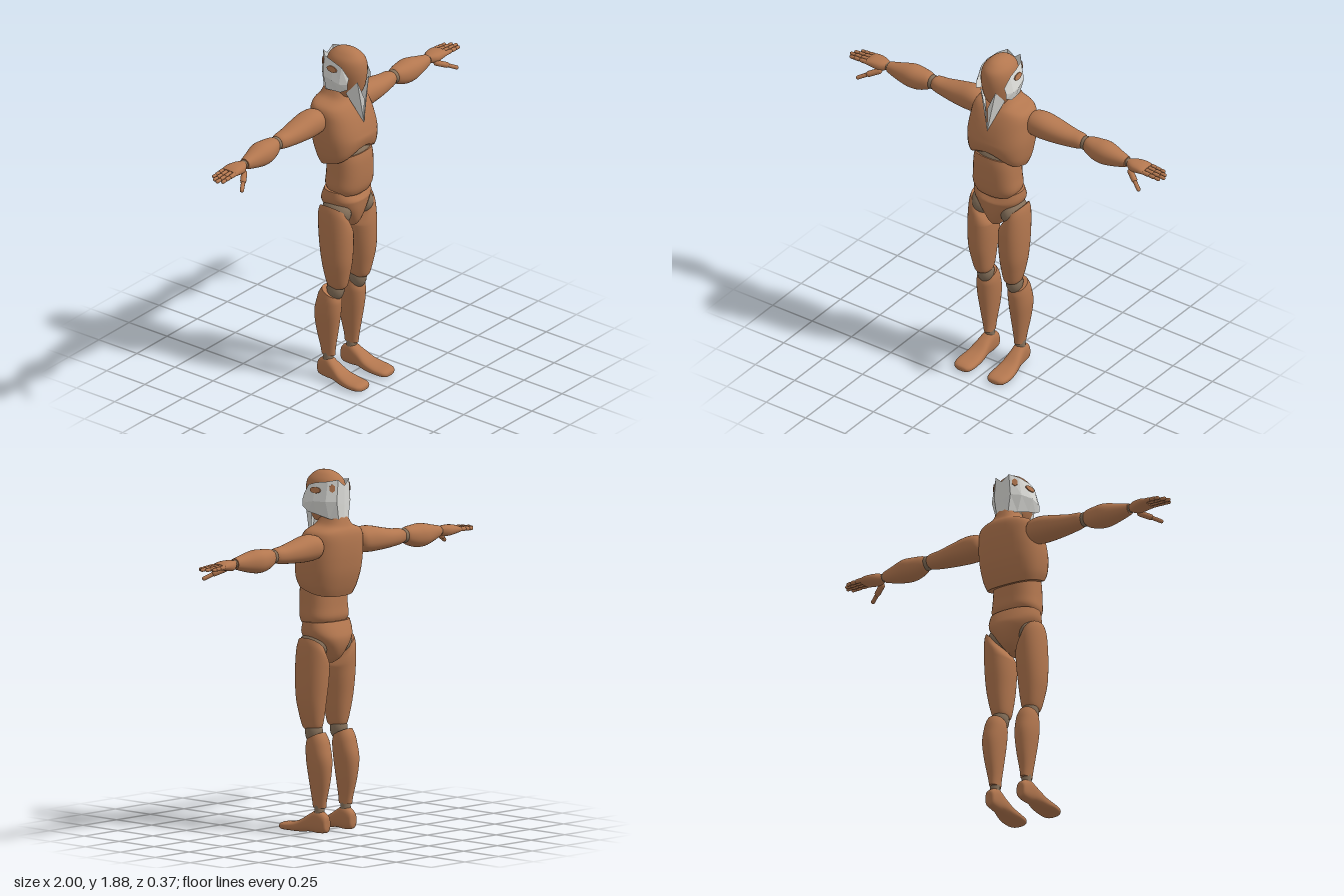
import * as THREE from 'three';

const wood = new THREE.MeshStandardMaterial({ name: 'wood', color: 0xb3774f });
const joint = new THREE.MeshStandardMaterial({ name: 'joint', color: 0x85705a });
const shell = new THREE.MeshStandardMaterial({ name: 'maskWhite', color: 0xdcdcd8, side: THREE.DoubleSide });

// Smooth solid through cross-sections [t, aMin, aMax, bMin, bMax] along an axis.
// y: a = x, b = z;  x: a = y, b = z;  z: a = x, b = y
function loft(axis, sections, power = 2.2, warp = null, steps = 4, sides = 32) {
  const at = (i) => sections[Math.max(0, Math.min(sections.length - 1, i))];
  const rings = [];
  for (let i = 0; i < sections.length - 1; i++) {
    for (let s = 0; s < steps; s++) {
      const u = s / steps;
      rings.push(at(i).map((p1, k) => {
        const p0 = at(i - 1)[k], p2 = at(i + 1)[k], p3 = at(i + 2)[k];
        return p1 + 0.5 * u * (p2 - p0 + u * (2 * p0 - 5 * p1 + 4 * p2 - p3 + u * (3 * (p1 - p2) + p3 - p0)));
      }));
    }
  }
  rings.push(at(sections.length - 1));
  const pos = [], idx = [];
  const bend = (v) => Math.sign(v) * Math.abs(v) ** (2 / power);
  const put = (a, b, t) => {
    const p = axis === 'y' ? [a, t, b] : axis === 'x' ? [t, a, b] : [a, b, t];
    if (warp) p[1] += warp(...p);
    pos.push(...p);
  };
  const ring = ([t, a0, a1, b0, b1]) => {
    for (let j = 0; j < sides; j++) {
      const th = (j / sides) * Math.PI * 2;
      put((a0 + a1) / 2 + ((a1 - a0) / 2) * bend(Math.cos(th)), (b0 + b1) / 2 + ((b1 - b0) / 2) * bend(Math.sin(th)), t);
    }
  };
  const tri = (a, b, c) => (axis === 'y' ? idx.push(a, c, b) : idx.push(a, b, c));
  rings.forEach(ring);
  for (let r = 0; r < rings.length - 1; r++) {
    for (let j = 0; j < sides; j++) {
      const k = (j + 1) % sides, a = r * sides, b = a + sides;
      tri(a + j, a + k, b + k);
      tri(a + j, b + k, b + j);
    }
  }
  // crisp end caps
  [rings[0], rings[rings.length - 1]].forEach((e, top) => {
    const base = pos.length / 3;
    ring(e);
    put((e[1] + e[2]) / 2, (e[3] + e[4]) / 2, e[0]);
    for (let j = 0; j < sides; j++) {
      const k = (j + 1) % sides;
      top ? tri(base + sides, base + j, base + k) : tri(base + sides, base + k, base + j);
    }
  });
  return surface(pos, idx);
}

function surface(pos, idx) {
  const g = new THREE.BufferGeometry();
  g.setAttribute('position', new THREE.Float32BufferAttribute(pos, 3));
  g.setIndex(idx);
  g.computeVertexNormals();
  return g;
}

function ball(x, y, z, rx, ry, rz) {
  return new THREE.SphereGeometry(1, 24, 16).scale(rx, ry, rz).translate(x, y, z);
}

// Rounded rod between two points
function rod(p, q, r) {
  const a = new THREE.Vector3(...p), b = new THREE.Vector3(...q), d = b.clone().sub(a);
  const g = new THREE.CapsuleGeometry(r, Math.max(0.001, d.length() - 2 * r), 4, 10);
  g.applyQuaternion(new THREE.Quaternion().setFromUnitVectors(new THREE.Vector3(0, 1, 0), d.normalize()));
  return g.translate(...a.add(b).multiplyScalar(0.5).toArray());
}

function mirrored(geo) {
  const g = geo.clone(), p = g.attributes.position, n = g.attributes.normal, ix = g.index.array;
  for (let i = 0; i < p.count; i++) { p.setX(i, -p.getX(i)); n.setX(i, -n.getX(i)); }
  for (let i = 0; i < ix.length; i += 3) [ix[i + 1], ix[i + 2]] = [ix[i + 2], ix[i + 1]];
  return g;
}

// Faceted sheet from a few points and triangles
function facets(points, tris) {
  return surface(tris.flat().flatMap((i) => points[i]), tris.flat().map((_, i) => i));
}

export function createModel() {
  const model = new THREE.Group();
  model.name = 'jointedMannequin';
  const add = (name, geo, mat = wood) => {
    const m = new THREE.Mesh(geo, mat);
    m.name = name;
    model.add(m);
  };
  const pair = (name, geo, mat = wood) => {
    const cap = name[0].toUpperCase() + name.slice(1);
    add('left' + cap, geo, mat);
    add('right' + cap, mirrored(geo), mat);
  };
  const sym = (rows) => rows.map(([y, r, b, f]) => [y, -r, r, b, f]);
  const ramp = (v, a, b) => Math.max(0, Math.min(1, (v - a) / (b - a)));

  // Head and neck
  add('head', loft('y', sym([[1.62, 0.045, -0.06, 0.05], [1.66, 0.062, -0.09, 0.08], [1.72, 0.078, -0.115, 0.095],
    [1.78, 0.086, -0.13, 0.1], [1.83, 0.077, -0.12, 0.09], [1.862, 0.052, -0.09, 0.06], [1.878, 0.027, -0.055, 0.028],
    [1.883, 0.003, -0.02, -0.01]]), 2.1));
  add('neck', new THREE.CylinderGeometry(0.055, 0.062, 0.14, 24).translate(0, 1.61, -0.05), joint);

  // Chest: lower edge arches up at the front and drops at the back
  add('chest', loft('y', sym([[1.27, 0.148, -0.125, 0.1], [1.31, 0.164, -0.145, 0.108], [1.37, 0.174, -0.168, 0.112],
    [1.43, 0.177, -0.18, 0.106], [1.5, 0.172, -0.185, 0.085], [1.55, 0.166, -0.183, 0.062], [1.58, 0.145, -0.175, 0.042],
    [1.605, 0.085, -0.16, 0.02], [1.65, 0.055, -0.145, -0.005]]), 2.6,
    (x, y, z) => (1 - ramp(y, 1.27, 1.42)) * (z > 0 ? 0.8 * z * (1 - (x / 0.18) ** 2) : 0.3 * z)));
  add('ribJoint', ball(0, 1.29, -0.005, 0.128, 0.085, 0.1), joint);

  // Waist
  add('waist', loft('y', sym([[1.085, 0.118, -0.092, 0.085], [1.12, 0.133, -0.105, 0.1], [1.18, 0.129, -0.102, 0.106],
    [1.25, 0.125, -0.1, 0.106], [1.29, 0.122, -0.098, 0.098]]), 2.5,
    (x, y, z) => ramp(y, 1.2, 1.29) * 0.25 * z - (1 - ramp(y, 1.08, 1.15)) * 0.1 * z));
  add('waistJoint', ball(0, 1.085, -0.012, 0.122, 0.05, 0.088), joint);

  // Pelvis
  add('pelvis', loft('y', sym([[0.88, 0.03, -0.06, 0.045], [0.91, 0.05, -0.105, 0.065], [0.96, 0.085, -0.132, 0.08],
    [1.01, 0.122, -0.14, 0.087], [1.05, 0.14, -0.128, 0.088], [1.1, 0.138, -0.105, 0.072]]), 2.4,
    (x, y, z) => -ramp(y, 1.03, 1.1) * Math.max(0, z) * 0.5 * (1 - (x / 0.14) ** 2)));

  // Legs
  pair('hipJoint', ball(0.092, 0.97, -0.012, 0.062, 0.075, 0.085), joint);
  pair('thigh', loft('y', [[0.54, 0.055, 0.128, -0.055, 0.04], [0.56, 0.046, 0.138, -0.066, 0.052],
    [0.62, 0.037, 0.153, -0.078, 0.066], [0.7, 0.029, 0.167, -0.09, 0.08], [0.8, 0.022, 0.172, -0.103, 0.085],
    [0.9, 0.024, 0.171, -0.11, 0.083], [0.98, 0.04, 0.165, -0.11, 0.075], [1.025, 0.068, 0.155, -0.098, 0.06]], 2.2,
    (x, y) => -ramp(y, 0.85, 1.0) * (0.16 - x) * 0.9));
  pair('knee', ball(0.092, 0.525, -0.018, 0.044, 0.065, 0.048), joint);
  pair('shin', loft('y', [[0.135, 0.072, 0.12, -0.102, -0.022], [0.18, 0.068, 0.127, -0.108, -0.018],
    [0.28, 0.055, 0.143, -0.13, -0.003], [0.38, 0.045, 0.155, -0.138, 0.011], [0.46, 0.042, 0.154, -0.118, 0.014],
    [0.51, 0.05, 0.147, -0.088, 0.006]], 2.2, (x, y, z) => -ramp(y, 0.44, 0.51) * (z + 0.05) * 0.5));
  pair('ankle', new THREE.CylinderGeometry(0.025, 0.028, 0.06, 20).translate(0.097, 0.125, -0.062), joint);
  pair('foot', loft('z', [[-0.121, 0.088, 0.108, 0.03, 0.075], [-0.112, 0.069, 0.124, 0.008, 0.098],
    [-0.06, 0.062, 0.132, 0.002, 0.125], [-0.01, 0.06, 0.142, 0.006, 0.1], [0.05, 0.052, 0.156, 0, 0.064],
    [0.11, 0.048, 0.165, 0, 0.048], [0.16, 0.052, 0.16, 0, 0.042], [0.182, 0.066, 0.142, 0.004, 0.034],
    [0.188, 0.085, 0.12, 0.012, 0.024]], 2.5));

  // Arms
  pair('upperArm', loft('x', [[0.145, 1.465, 1.55, -0.14, -0.04], [0.17, 1.442, 1.567, -0.158, -0.022],
    [0.23, 1.435, 1.572, -0.163, -0.019], [0.32, 1.438, 1.553, -0.16, -0.03], [0.4, 1.444, 1.537, -0.15, -0.045],
    [0.455, 1.451, 1.532, -0.143, -0.056], [0.475, 1.458, 1.524, -0.135, -0.065]]));
  pair('elbow', ball(0.487, 1.49, -0.1, 0.036, 0.038, 0.038), joint);
  pair('forearm', loft('x', [[0.492, 1.455, 1.525, -0.135, -0.065], [0.51, 1.44, 1.533, -0.145, -0.055],
    [0.56, 1.423, 1.538, -0.158, -0.042], [0.62, 1.42, 1.54, -0.162, -0.038], [0.7, 1.438, 1.523, -0.138, -0.05],
    [0.755, 1.455, 1.511, -0.12, -0.062]]));
  pair('wrist', ball(0.76, 1.483, -0.092, 0.022, 0.022, 0.024), joint);

  // Hands with three-part fingers
  pair('palm', loft('x', [[0.765, 1.463, 1.503, -0.115, -0.07], [0.8, 1.452, 1.508, -0.138, -0.05],
    [0.85, 1.46, 1.506, -0.147, -0.046], [0.882, 1.467, 1.496, -0.144, -0.047]], 2.4, null, 4, 20));
  [[-0.134, 0.965], [-0.109, 0.99], [-0.084, 1.0], [-0.059, 0.985]].forEach(([z, tip], f) => {
    const cuts = [0.87, 0.87 + (tip - 0.87) * 0.45, 0.87 + (tip - 0.87) * 0.75, tip];
    for (let s = 0; s < 3; s++) {
      const x0 = cuts[s] - (s ? 0.007 : 0);
      pair(`finger${f + 1}Segment${s + 1}`, rod([x0, 1.483 - s * 0.002, z], [cuts[s + 1], 1.481 - s * 0.002, z], 0.0118 - s * 0.001));
    }
  });
  pair('thumbBase', rod([0.785, 1.463, -0.068], [0.855, 1.432, -0.023], 0.016));
  pair('thumbTip', rod([0.843, 1.437, -0.03], [0.899, 1.408, 0.003], 0.011));

  // Mask wrapped round the back of the head; columns run from the spine line to the cheek
  const columns = [[-0.147, 0, 1.81, 0, 1.71, 0, 1.6], [-0.141, 0.04, 1.845, 0.05, 1.73, 0.035, 1.63],
    [-0.1, 0.074, 1.835, 0.092, 1.73, 0.067, 1.64], [-0.03, 0.09, 1.825, 0.113, 1.73, 0.09, 1.66],
    [0.02, 0.092, 1.81, 0.113, 1.72, 0.1, 1.67], [0.062, 0.083, 1.755, 0.096, 1.725, 0.094, 1.695]];
  const pts = columns.flatMap(([z, xt, yt, xm, ym, xl, yl]) => [[xt, yt, z], [xm, ym, z], [xl, yl, z]]);
  const tris = [];
  for (let c = 0; c < columns.length - 1; c++) {
    for (let r = 0; r < 2; r++) {
      const a = c * 3 + r, b = a + 3;
      tris.push([a, b, b + 1], [a, b + 1, a + 1]);
    }
  }
  pair('maskShell', facets(pts, tris), shell);

  // Pointed guard hanging from the front of the head
  pair('frontGuard', facets([[0.048, 1.73, 0.09], [0.006, 1.625, 0.102], [0, 1.48, 0.096], [0.062, 1.65, 0.025]],
    [[0, 1, 2], [0, 2, 3]]), shell);

  // Eye patches on the mask
  const patch = (p, normal, w, h, sides) => {
    const g = new THREE.CylinderGeometry(1, 1, 0.006, sides).rotateX(Math.PI / 2).scale(w, h, 1);
    const o = new THREE.Object3D();
    o.lookAt(...normal);
    return g.applyQuaternion(o.quaternion).translate(...p);
  };
  pair('sideEye', patch([0.101, 1.787, -0.036], [1, 0.25, -0.1], 0.034, 0.016, 20));
  pair('rearEye', patch([0.064, 1.8, -0.122], [0.74, 0.1, -0.67], 0.017, 0.022, 6));
  return model;
}
